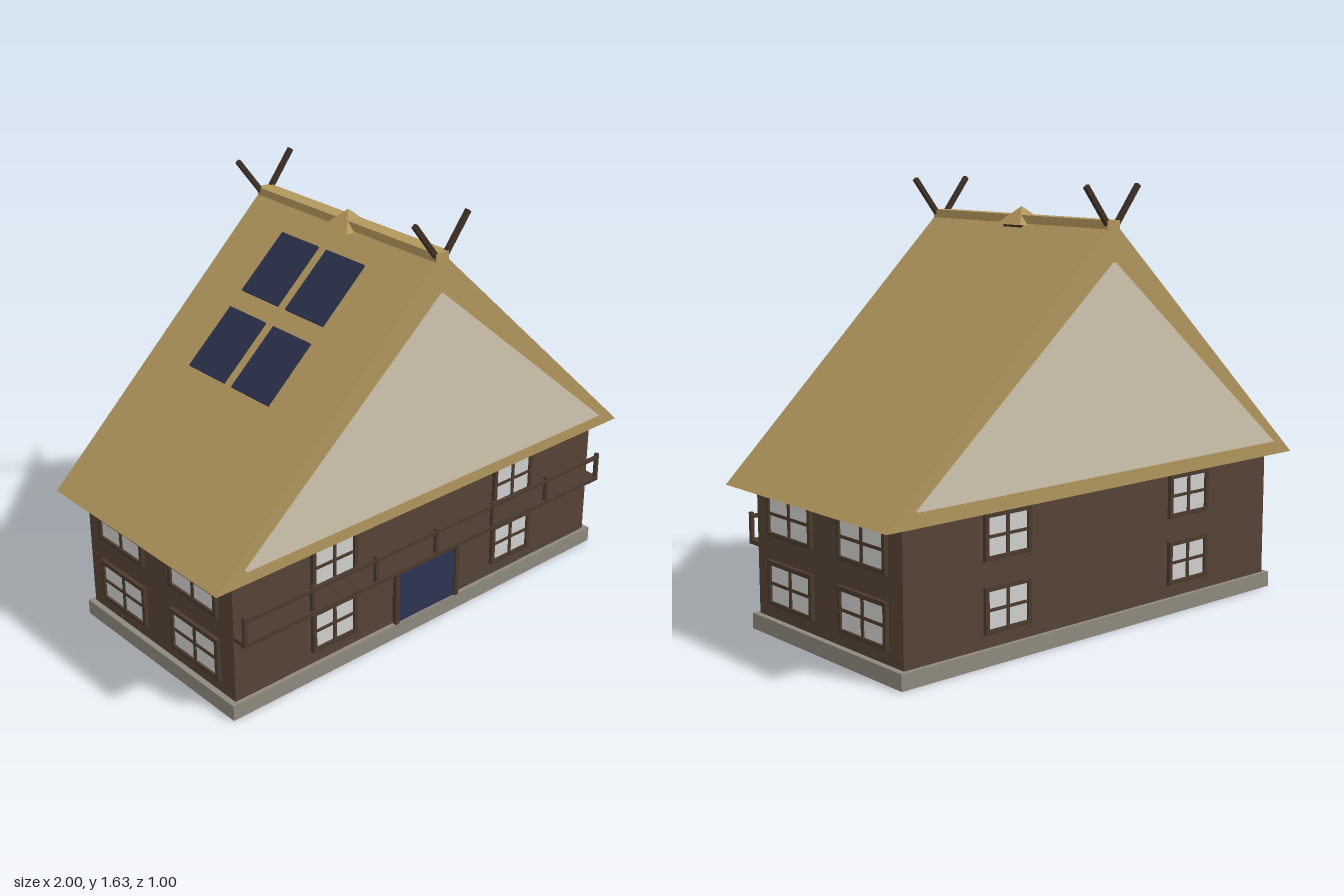
import * as THREE from 'three';

const paint = (name, color) => {
  const m = new THREE.MeshStandardMaterial({ color });
  m.name = name;
  return m;
};

export function createModel() {
  const house = new THREE.Group();
  house.name = 'house';
  const stone = paint('stone', 0x8e897e);
  const wood = paint('wall wood', 0x564335);
  const trim = paint('trim wood', 0x4c3a2e);
  const dark = paint('dark wood', 0x3f2f25);
  const thatch = paint('thatch', 0xb2975c);
  const plaster = paint('plaster', 0xd0c5af);
  const glass = paint('window glass', 0xd0d0cd);
  const doorBlue = paint('door blue', 0x2d3353);
  const panelBlue = paint('panel blue', 0x2a304c);

  const add = (parent, name, geometry, material, x = 0, y = 0, z = 0) => {
    const mesh = new THREE.Mesh(geometry, material);
    mesh.name = name;
    mesh.position.set(x, y, z);
    parent.add(mesh);
    return mesh;
  };
  const box = (parent, name, material, w, h, d, x, y, z) =>
    add(parent, name, new THREE.BoxGeometry(w, h, d), material, x, y, z);
  // Triangular prism centred on z = 0
  const prism = (half, low, high, depth) => {
    const s = new THREE.Shape();
    s.moveTo(-half, low);
    s.lineTo(half, low);
    s.lineTo(0, high);
    s.closePath();
    return new THREE.ExtrudeGeometry(s, { depth, bevelEnabled: false }).translate(0, 0, -depth / 2);
  };

  // Foundation and walls
  box(house, 'foundation', stone, 1.845, 0.06, 0.9, 0, 0.03, 0);
  box(house, 'walls', wood, 1.8, 0.49, 0.866, 0, 0.305, 0);

  // Thatched roof with plastered gables and ridge cap
  add(house, 'roof', prism(1, 0.548, 1.5, 0.964), thatch);
  add(house, 'gables', prism(0.88, 0.605, 1.355, 0.995), plaster);
  box(house, 'ridgeCap', thatch, 0.06, 0.07, 0.966, 0, 1.467, 0);

  // Small vent on the ridge
  box(house, 'ventBase', dark, 0.09, 0.03, 0.1, 0, 1.455, 0);
  const pyramid = new THREE.ConeGeometry(0.067 * Math.SQRT2, 0.065, 4, 1).rotateY(Math.PI / 4).toNonIndexed();
  pyramid.computeVertexNormals();
  add(house, 'ventCap', pyramid, thatch, 0, 1.5, 0);

  // Crossed ridge boards at both gable ends
  for (const z of [-0.474, 0.474]) {
    for (const s of [-1, 1]) {
      const board = box(house, 'ridgeHorn', dark, 0.018, 0.19, 0.016, s * 0.068, 1.547, z);
      board.rotation.z = -s * 0.66;
    }
  }

  // Windows: frame, glass and cross bars, facing +z in their own group
  const frameBar = 0.016, depth = 0.03, H = 0.168;
  const addWindow = (w, x, y, z, turn) => {
    const g = new THREE.Group();
    g.name = 'window';
    g.position.set(x, y, z);
    g.rotation.y = turn;
    const rect = (Type, a, b) => new Type([
      new THREE.Vector2(-a, -b), new THREE.Vector2(a, -b),
      new THREE.Vector2(a, b), new THREE.Vector2(-a, b),
    ]);
    const shape = rect(THREE.Shape, w / 2, H / 2);
    shape.holes.push(rect(THREE.Path, w / 2 - frameBar, H / 2 - frameBar));
    const frame = new THREE.ExtrudeGeometry(shape, { depth, bevelEnabled: false });
    add(g, 'windowFrame', frame, trim, 0, 0, 0.015 - depth);
    box(g, 'windowGlass', glass, w - frameBar, H - frameBar, 0.006, 0, 0, 0.003);
    box(g, 'windowMullion', trim, 0.013, H - frameBar, 0.012, 0, 0, 0.005);
    box(g, 'windowTransom', trim, w - frameBar, 0.011, 0.011, 0, 0, 0.005);
    house.add(g);
  };
  for (const y of [0.195, 0.454]) {
    for (const s of [-1, 1]) {
      for (const t of [-1, 1]) {
        addWindow(0.21, s * 0.453, y, t * 0.433, t > 0 ? 0 : Math.PI);
        addWindow(0.276, t * 0.9, y, s * 0.217, t * Math.PI / 2);
      }
    }
  }

  // Front door with its frame
  box(house, 'door', doorBlue, 0.29, 0.226, 0.02, 0, 0.173, 0.433);
  for (const s of [-1, 1]) box(house, 'doorPost', trim, 0.018, 0.25, 0.036, s * 0.154, 0.185, 0.434);
  box(house, 'doorLintel', trim, 0.326, 0.024, 0.036, 0, 0.298, 0.434);

  // Balcony: floor, posts and handrail
  box(house, 'balconyFloor', trim, 1.8, 0.016, 0.068, 0, 0.318, 0.462);
  for (let i = -3; i <= 3; i++) {
    box(house, 'balconyPost', trim, 0.014, 0.116, 0.014, i * 0.2975, 0.37, 0.488);
  }
  box(house, 'balconyRail', trim, 1.79, 0.014, 0.012, 0, 0.412, 0.488);

  // Solar panels above the roof slope on the right
  for (const [x, y] of [[-0.465, 1.097], [-0.217, 1.322]]) {
    for (const z of [-0.125, 0.121]) {
      const panel = box(house, 'solarPanel', panelBlue, 0.262, 0.01, 0.2, x, y, z);
      panel.rotation.z = Math.atan(0.907);
    }
  }
  return house;
}
